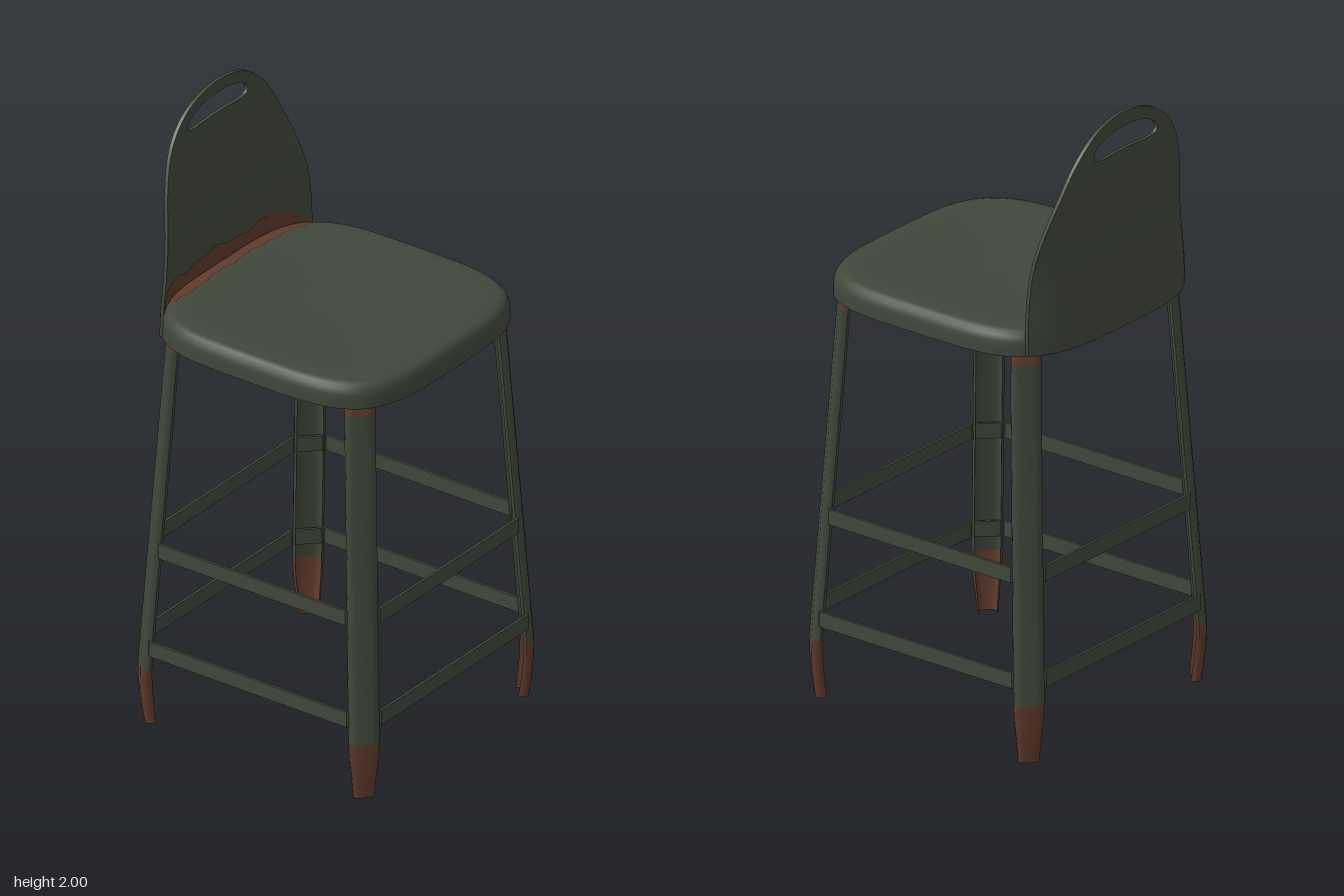
import * as THREE from 'three';
import { toCreasedNormals } from 'three/addons/utils/BufferGeometryUtils.js';

const green = new THREE.MeshStandardMaterial({ color: 0x40473a });
green.name = 'dark green paint';
const rust = new THREE.MeshStandardMaterial({ color: 0x5f3a2b });
rust.name = 'rust';
const V = (x, y, z) => new THREE.Vector3(x, y, z);

// Skin between successive rings of points
function loft(rings, closed = true) {
  const n = rings[0].length, pos = [], idx = [];
  rings.forEach(r => r.forEach(p => pos.push(p.x, p.y, p.z)));
  for (let i = 0; i < rings.length - 1; i++) {
    for (let j = 0; j < (closed ? n : n - 1); j++) {
      const k = (j + 1) % n, a = i * n, b = a + n;
      idx.push(a + j, a + k, b + j, a + k, b + k, b + j);
    }
  }
  const g = new THREE.BufferGeometry();
  g.setAttribute('position', new THREE.Float32BufferAttribute(pos, 3));
  g.setIndex(idx);
  return toCreasedNormals(g, 0.8);
}

function add(parent, name, geometry, material) {
  const m = new THREE.Mesh(geometry, material);
  m.name = name;
  parent.add(m);
  return m;
}

// Point of a rounded square (superellipse) at an angle
function squircle(a, rx, ry, n) {
  const c = Math.cos(a), s = Math.sin(a);
  const r = (Math.abs(c / rx) ** n + Math.abs(s / ry) ** n) ** (-1 / n);
  return [c * r, s * r];
}

const seatPoint = (a, s, y) => {
  const [x, z] = squircle(a, 0.44, 0.445, 4);
  return V(x * s, y, z * s);
};
const seatRing = ([s, y]) =>
  Array.from({ length: 96 }, (_, i) => seatPoint(i / 96 * Math.PI * 2, s, y));

function buildSeat() {
  const seat = new THREE.Group();
  seat.name = 'seat';
  // pressed top and hanging skirt
  const outside = [[0.001, 1.374], [0.5, 1.377], [0.85, 1.382], [0.93, 1.382], [0.965, 1.377],
    [0.985, 1.366], [0.997, 1.348], [1, 1.33], [1, 1.302], [0.98, 1.302], [0.978, 1.33]];
  add(seat, 'seatPan', loft(outside.map(seatRing)), green);
  // hollow underside
  add(seat, 'skirtInnerRust', loft([[0.978, 1.33], [0.97, 1.36]].map(seatRing)), rust);
  add(seat, 'seatUnderside', loft([[0.97, 1.36], [0.001, 1.36]].map(seatRing)), green);
  // worn strip in front of the backrest
  const inner = [], middle = [], outer = [];
  for (let i = 0; i <= 60; i++) {
    const t = i / 60, a = -Math.PI / 2 - 0.65 + 1.42 * t;
    const end = Math.max(0, Math.abs(t - 0.5) * 2 - 0.8) / 0.2;
    const s = 0.875 + 0.009 * Math.sin(t * 23) + 0.006 * Math.sin(t * 51) + 0.05 * end;
    inner.push(seatPoint(a, s, 1.3845));
    middle.push(seatPoint(a, 0.938, 1.383));
    outer.push(seatPoint(a, 0.97, 1.3775));
  }
  add(seat, 'seatRust', loft([inner, middle, outer], false), rust);
  return seat;
}

// Curved surface the backrest lies on
const backZ = (x, y) =>
  -0.446 - 0.009 * Math.cos((y - 1.31) / 0.56 * Math.PI * 2) + 3.8 * x ** 4;

function buildBackrest() {
  const back = new THREE.Group();
  back.name = 'backrest';
  const half = [[0.375, 1.305], [0.373, 1.4], [0.345, 1.6], [0.28, 1.8], [0.222, 1.9], [0.13, 1.972]];
  const path = [...half, [0, 2], ...half.map(([x, y]) => [-x, y]).reverse()];
  const outline = new THREE.CatmullRomCurve3(path.map(([x, y]) => V(x, y, 0))).getPoints(84);
  for (let i = 1; i < 24; i++) outline.push(V(-0.375 + 0.75 * i / 24, 1.305, 0));

  // hand hole, drooping at both ends
  const hole = outline.map(p => {
    const [x, y] = squircle(Math.atan2(p.y - 1.921, p.x), 0.15, 0.036, 2.6);
    return V(x, 1.921 + y - 0.9 * x * x, 0);
  });
  const ring = (t, dz) => outline.map((p, i) => {
    const q = p.clone().lerp(hole[i], t);
    return q.setZ(backZ(q.x, q.y) + dz);
  });
  const steps = Array.from({ length: 15 }, (_, i) => i / 14);
  add(back, 'backrestFront', loft(steps.map(t => ring(t, 0.012))), green);
  add(back, 'backrestRear', loft(steps.map(t => ring(1 - t, 0))), green);
  add(back, 'handHoleRim', loft([ring(1, 0.012), ring(1, 0)]), green);
  add(back, 'backrestRim', loft([ring(0, 0), ring(0, 0.012)]), green);

  // worn band along the foot of the backrest
  const low = [], high = [];
  for (let i = 0; i <= 60; i++) {
    const t = i / 60, x = -0.36 + 0.72 * t;
    const y = 1.43 + 0.008 * Math.sin(t * 17) + 0.004 * Math.sin(t * 43) - 0.03 * Math.abs(2 * t - 1) ** 6;
    low.push(V(x, 1.37, backZ(x, 1.37) + 0.0155));
    high.push(V(x, y, backZ(x, y) + 0.0155));
  }
  add(back, 'backrestRust', loft([low, high], false), rust);
  return back;
}

// Channel-shaped leg section, open towards the middle of the stool
function legRing([y, radius, w]) {
  const side = [[1, -0.026], [0.97, -0.012], [0.8, -0.003], [0.5, 0]];
  const outer = [...side.map(([x, z]) => [-x, z]), ...side.slice().reverse()];
  const inner = outer.map(([x, z]) => [x * 0.85, z - 0.008]).reverse();
  return [...outer, ...inner].map(([x, z]) => V(x * w, y, z + radius));
}

function buildLeg() {
  const leg = new THREE.Group();
  leg.name = 'leg';
  const foot = [[0, 0.582, 0.032], [0.06, 0.59, 0.037], [0.13, 0.596, 0.044], [0.19, 0.597, 0.047]];
  const shaft = [[0.19, 0.597, 0.047], [1.27, 0.513, 0.047]];
  const top = [[1.27, 0.513, 0.047], [1.35, 0.503, 0.045]];
  add(leg, 'legFoot', loft(foot.map(legRing)), rust);
  add(leg, 'legShaft', loft(shaft.map(legRing)), green);
  add(leg, 'legTop', loft(top.map(legRing)), rust);
  return leg;
}

// Square footrest band with cut corners
function buildStretcher(r, y) {
  const octagon = (h, c) => [[h, -c], [h, c], [c, h], [-c, h], [-h, c], [-h, -c], [-c, -h], [c, -h]]
    .map(([a, b]) => new THREE.Vector2(a, b));
  const shape = new THREE.Shape(octagon(r, r - 0.075));
  shape.holes.push(new THREE.Path(octagon(r - 0.009, r - 0.079)));
  const g = new THREE.ExtrudeGeometry(shape, { depth: 0.05, bevelEnabled: false });
  g.rotateX(-Math.PI / 2);
  g.translate(0, y, 0);
  return g;
}

export function createModel() {
  const stool = new THREE.Group();
  stool.name = 'barStool';
  stool.add(buildSeat(), buildBackrest());
  for (let i = 0; i < 4; i++) {
    const leg = buildLeg();
    leg.rotation.y = Math.PI / 4 + i * Math.PI / 2;
    stool.add(leg);
  }
  add(stool, 'lowerStretcher', buildStretcher(0.444, 0.242), green);
  add(stool, 'upperStretcher', buildStretcher(0.424, 0.575), green);
  return stool;
}
